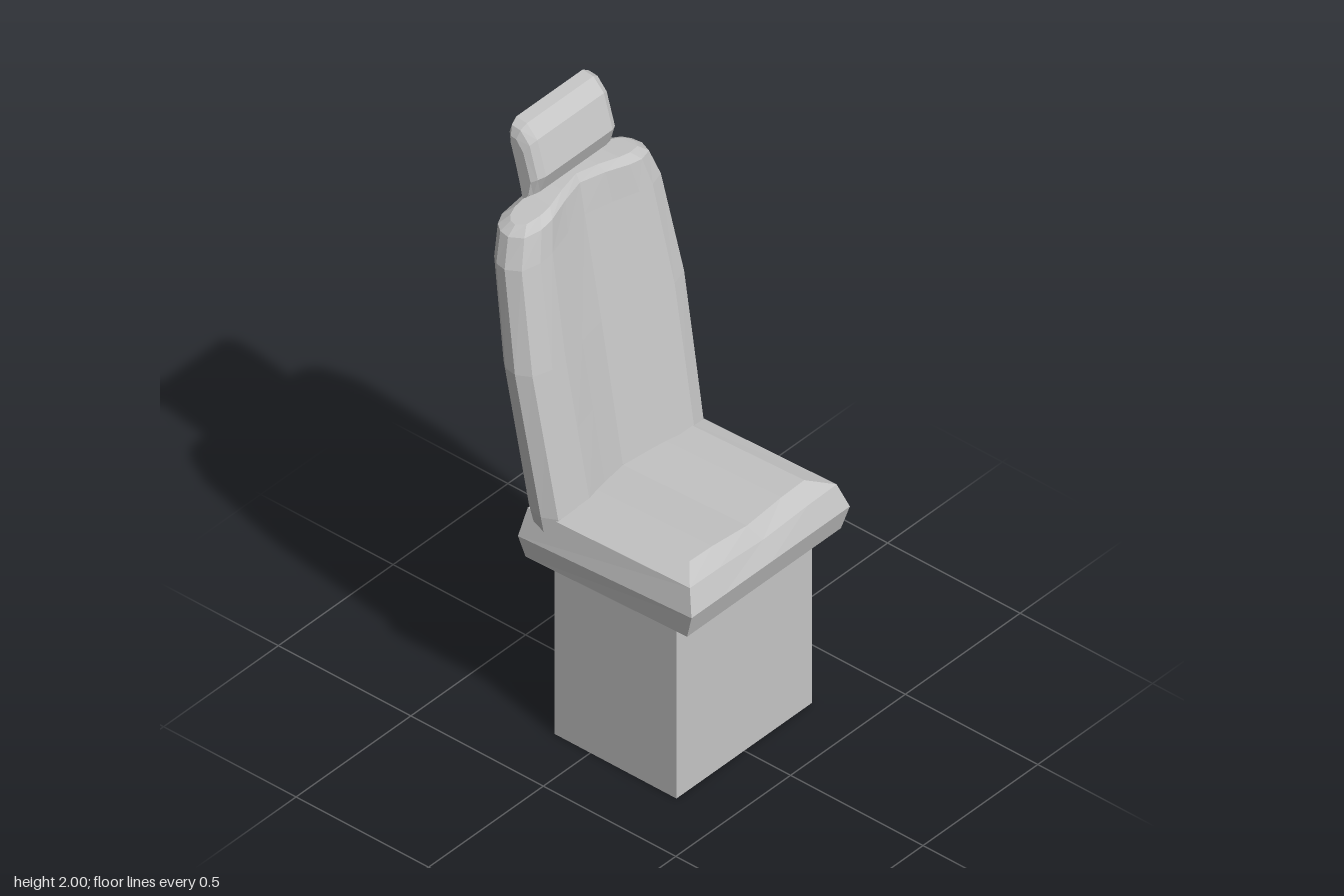
import * as THREE from 'three';

const fabric = new THREE.MeshStandardMaterial({ color: 0xc4c4c4 });
fabric.name = 'light grey';
fabric.side = THREE.DoubleSide;

// Skins a stack of equal rings with flat facets; each ring runs along one side and
// back along the other, so caps are strips joining opposite points.
function loft(name, rings, caps = true) {
  const pos = [];
  const quad = (a, b, c, d) => [a, b, c, a, c, d].forEach((p) => pos.push(...p));
  const m = rings[0].length;
  for (let r = 0; r < rings.length - 1; r++) {
    const a = rings[r], b = rings[r + 1];
    for (let i = 0; i < m; i++) {
      const j = (i + 1) % m;
      quad(a[i], a[j], b[j], b[i]);
    }
  }
  if (caps) {
    const lo = rings[0], hi = rings[rings.length - 1];
    for (let i = 0; i < m / 2 - 1; i++) {
      const k = m - 1 - i;
      quad(hi[i], hi[i + 1], hi[k - 1], hi[k]);
      quad(lo[k], lo[k - 1], lo[i + 1], lo[i]);
    }
  }
  const geo = new THREE.BufferGeometry();
  geo.setAttribute('position', new THREE.Float32BufferAttribute(pos, 3));
  geo.computeVertexNormals();
  const mesh = new THREE.Mesh(geo, fabric);
  mesh.name = name;
  return mesh;
}

// Hollow base, open below
function makePedestal() {
  const ring = (y) => [[-0.295, y, 0.325], [0.295, y, 0.325], [0.295, y, -0.135], [-0.295, y, -0.135]];
  return loft('pedestal', [ring(0), ring(0.615)], false);
}

// Cushion with bevelled rims and a shallow dip along the middle
function makeCushion() {
  // front y, back y, half width, front z, back z, dip
  const rows = [
    [0.615, 0.6, 0.295, 0.325, -0.16, 0],
    [0.645, 0.625, 0.335, 0.4, -0.21, 0],
    [0.73, 0.695, 0.345, 0.425, -0.23, 0],
    [0.81, 0.79, 0.32, 0.397, -0.215, 0.012],
    [0.835, 0.815, 0.25, 0.335, -0.17, 0.018],
  ];
  const xs = [-1, -0.6, 0, 0.6, 1];
  const dips = [0, 0.2, 1, 0.2, 0];
  return loft('seatCushion', rows.map(([yf, yb, w, zf, zb, dip]) => [
    ...xs.map((x, i) => [x * w, yf - dip * dips[i], zf]),
    ...xs.map((x, i) => [-x * w, yb - dip * dips[i], zb]),
  ]));
}

// Leaning backrest with side bolsters and an arched top
function makeBackrest() {
  // y, half width, front z, back z, hollow, arch
  const rows = [
    [0.69, 0.325, -0.075, -0.215, 0.05, 0],
    [0.8, 0.34, -0.083, -0.232, 0.05, 0],
    [1.05, 0.348, -0.127, -0.275, 0.048, 0],
    [1.28, 0.355, -0.168, -0.315, 0.046, 0],
    [1.63, 0.326, -0.232, -0.374, 0.045, 0.02],
    [1.735, 0.292, -0.25, -0.387, 0.045, 0.035],
    [1.76, 0.26, -0.275, -0.36, 0.035, 0.035],
  ];
  // fraction of width, share of hollow, extra setback
  const half = [[1, 0, 0.065], [0.93, 0, 0.02], [0.75, 0, 0], [0.58, 0.05, 0], [0.3, 0.55, 0]];
  const front = [
    ...half.map(([x, h, s]) => [-x, h, s]), [0, 1, 0],
    ...half.slice().reverse(),
  ];
  const rear = [[0.98, 0.04], [0.92, 0.015], [0.8, 0], [0.55, 0], [0.3, 0]];
  const back = [...rear, [0, 0], ...rear.slice().reverse().map(([x, s]) => [-x, s])];
  return loft('backrest', rows.map(([y, w, zf, zb, hollow, arch]) => {
    const t = Math.min(1, (zf - zb) / 0.14);
    return [
      ...front.map(([x, h, s]) => [x * w, y - arch * x * x, zf - hollow * h - s * t]),
      ...back.map(([x, s]) => [x * w, y - arch * x * x, zb + s * t]),
    ];
  }));
}

// Headrest: side profile carried across, shrinking at both ends
function makeHeadrest() {
  const base = 1.755;
  // z, y: up the back, then down the front
  const profile = [
    [-0.36, 1.755], [-0.378, 1.8], [-0.41, 1.89], [-0.424, 1.97], [-0.41, 2],
    [-0.37, 1.996], [-0.33, 1.955], [-0.297, 1.84], [-0.32, 1.775], [-0.345, 1.757],
  ];
  // x, thinning, height scale
  const ends = [[0.18, 0.5, 0.82], [0.168, 0.2, 0.94], [0.145, 0, 1]];
  const stations = [...ends.map(([x, t, h]) => [-x, t, h]), ...ends.slice().reverse()];
  return loft('headrest', stations.map(([x, thin, h]) => profile.map(([z, y], i) => {
    const mid = (z + profile[profile.length - 1 - i][0]) / 2;
    return [x, base + (y - base) * h, z + (mid - z) * thin];
  })));
}

export function createModel() {
  const seat = new THREE.Group();
  seat.name = 'seat';
  seat.add(makePedestal(), makeCushion(), makeBackrest(), makeHeadrest());
  return seat;
}
